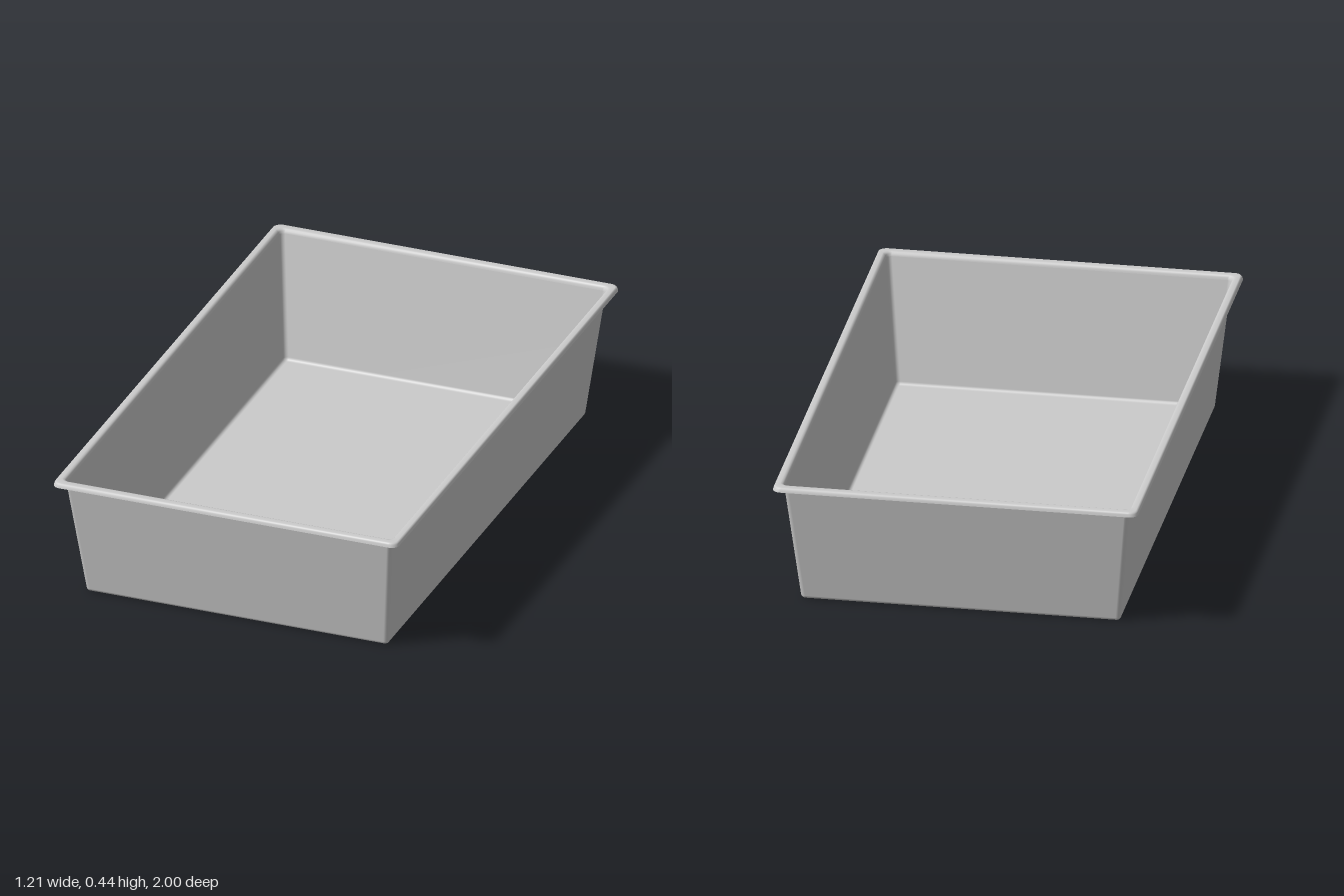
import * as THREE from 'three';

const CORNER_STEPS = 6;

// Rounded rectangle loop: half width, half length, height, corner radius
function loop(hx, hz, y, r) {
  const points = [];
  [[1, 1], [-1, 1], [-1, -1], [1, -1]].forEach(([sx, sz], corner) => {
    for (let i = 0; i <= CORNER_STEPS; i++) {
      const a = (corner + i / CORNER_STEPS) * Math.PI / 2;
      points.push([sx * (hx - r) + r * Math.cos(a), y, sz * (hz - r) + r * Math.sin(a)]);
    }
  });
  return points;
}

// Skin stacked loops from the centre outwards, optionally closing the first one
function loft(sections, closeStart) {
  const loops = sections.map((s) => loop(...s));
  const n = loops[0].length;
  const positions = loops.flat(2);
  const index = [];
  for (let k = 0; k < loops.length - 1; k++) {
    for (let j = 0; j < n; j++) {
      const a = k * n + j, b = k * n + (j + 1) % n;
      index.push(a, b, b + n, a, b + n, a + n);
    }
  }
  if (closeStart) {
    const centre = positions.length / 3;
    positions.push(0, sections[0][2], 0);
    for (let j = 0; j < n; j++) index.push(centre, (j + 1) % n, j);
  }
  const geometry = new THREE.BufferGeometry();
  geometry.setAttribute('position', new THREE.Float32BufferAttribute(positions, 3));
  geometry.setIndex(index);
  geometry.computeVertexNormals();
  return geometry;
}

export function createModel() {
  const group = new THREE.Group();
  group.name = 'bakingPan';
  const material = new THREE.MeshStandardMaterial({ color: 0xcccccc, side: THREE.DoubleSide });
  const add = (name, geometry) => {
    const mesh = new THREE.Mesh(geometry, material);
    mesh.name = name;
    group.add(mesh);
  };

  // Floor, small bottom fillet and sloping walls
  const body = [];
  for (let i = 0; i <= 4; i++) {
    const a = i / 4 * 1.42;
    const out = 0.013 * (Math.sin(a) - 1);
    body.push([0.531 + out, 0.888 + out, 0.013 * (1 - Math.cos(a)), 0.016 + out]);
  }
  body.push([0.573, 0.962, 0.422, 0.016]);
  add('panBody', loft(body, true));

  // Rim rolling outwards from the walls, flat on top, with a short flared lip
  add('rim', loft([
    [0.573, 0.962, 0.422, 0.016],
    [0.575, 0.964, 0.430, 0.018],
    [0.579, 0.968, 0.435, 0.021],
    [0.585, 0.974, 0.437, 0.024],
    [0.598, 0.990, 0.437, 0.026],
    [0.602, 0.995, 0.435, 0.027],
    [0.604, 0.998, 0.431, 0.027],
    [0.606, 1.000, 0.422, 0.027],
  ], false));

  return group;
}
